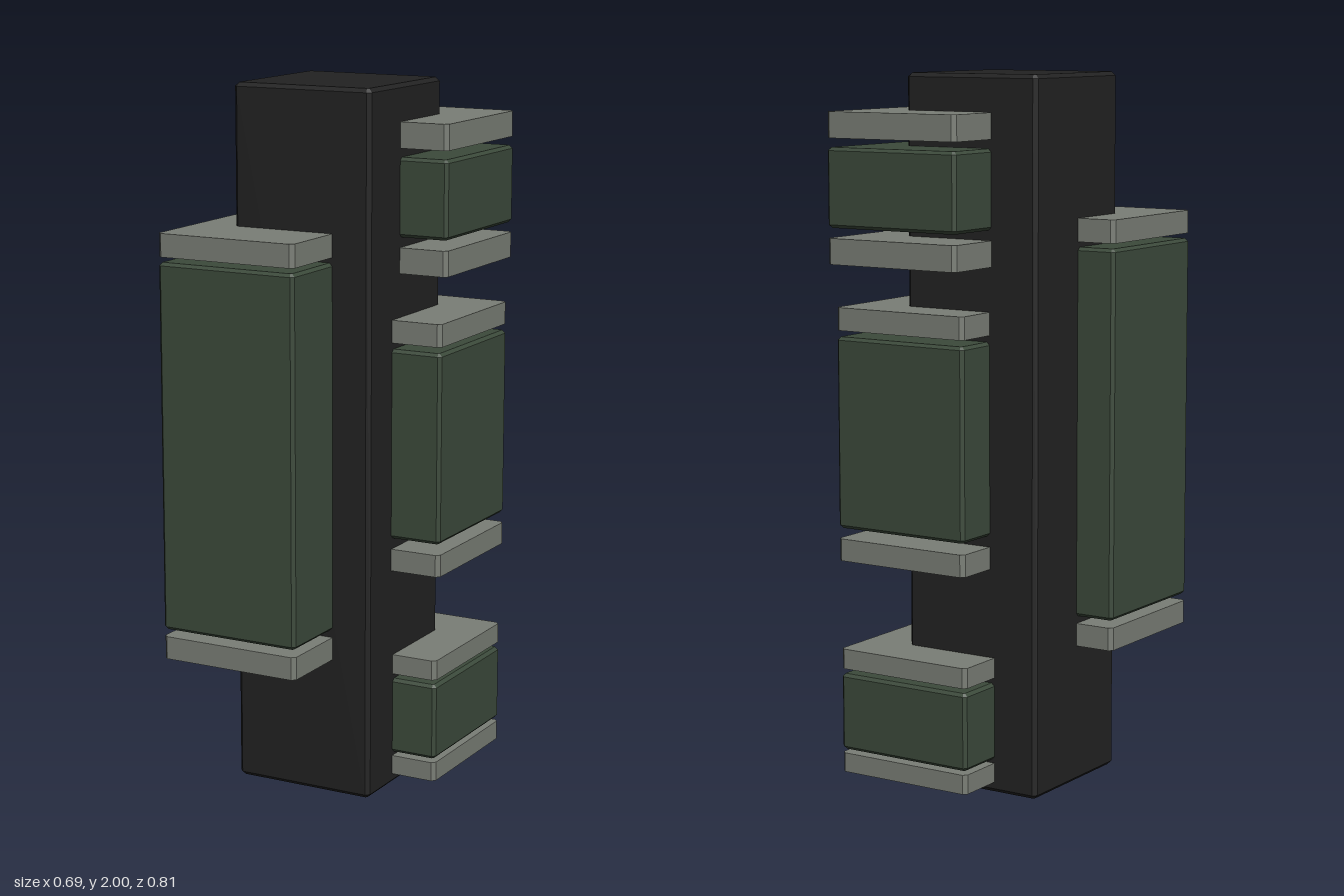
import * as THREE from 'three';

const WIDTH = 0.423;

// Square block with clipped vertical corners and an optional bevel on the top and bottom rims
function block(y0, y1, corner, bevel) {
  const h = WIDTH / 2, c = h - corner;
  const shape = new THREE.Shape([
    [h, -c], [h, c], [c, h], [-c, h], [-h, c], [-h, -c], [-c, -h], [c, -h],
  ].map(([x, y]) => new THREE.Vector2(x, y)));
  const geometry = new THREE.ExtrudeGeometry(shape, {
    depth: y1 - y0 - 2 * bevel,
    bevelEnabled: bevel > 0,
    bevelThickness: bevel,
    bevelSize: bevel,
    bevelOffset: -bevel,
    bevelSegments: 1,
  });
  geometry.rotateX(-Math.PI / 2);
  geometry.translate(0, y0 + bevel, 0);
  return geometry;
}

export function createModel() {
  const black = new THREE.MeshStandardMaterial({ name: 'black', color: 0x222222 });
  const green = new THREE.MeshStandardMaterial({ name: 'darkGreen', color: 0x3c4a3b });
  const grey = new THREE.MeshStandardMaterial({ name: 'grey', color: 0x7a7e76 });

  const model = new THREE.Group();
  model.name = 'tower';

  const add = (parent, name, geometry, material) => {
    const mesh = new THREE.Mesh(geometry, material);
    mesh.name = name;
    parent.add(mesh);
    return mesh;
  };

  // Central column
  const column = add(model, 'column', block(0.005, 2, 0.011, 0.011), black);
  column.position.set(-0.0185, 0, -0.0215);

  // Pods: a green body between two grey slabs, [bottom, top] heights for each
  const pods = [
    { name: 'frontPod', x: -0.1335, z: 0.1935, lower: [0.4, 0.465], body: [0.485, 1.525], upper: [1.54, 1.605] },
    { name: 'upperPod', x: 0.125, z: -0.197, lower: [1.48, 1.552], body: [1.58, 1.8], upper: [1.825, 1.897] },
    { name: 'middlePod', x: 0.131, z: -0.1535, lower: [0.642, 0.705], body: [0.735, 1.275], upper: [1.293, 1.357] },
    { name: 'lowerPod', x: 0.1165, z: -0.166, lower: [0.035, 0.09], body: [0.1, 0.32], upper: [0.335, 0.392] },
  ];
  for (const { name, x, z, lower, body, upper } of pods) {
    const pod = new THREE.Group();
    pod.name = name;
    pod.position.set(x, 0, z);
    add(pod, 'lowerSlab', block(...lower, 0.011, 0), grey);
    add(pod, 'body', block(...body, 0.009, 0.009), green);
    add(pod, 'upperSlab', block(...upper, 0.011, 0), grey);
    model.add(pod);
  }
  return model;
}
